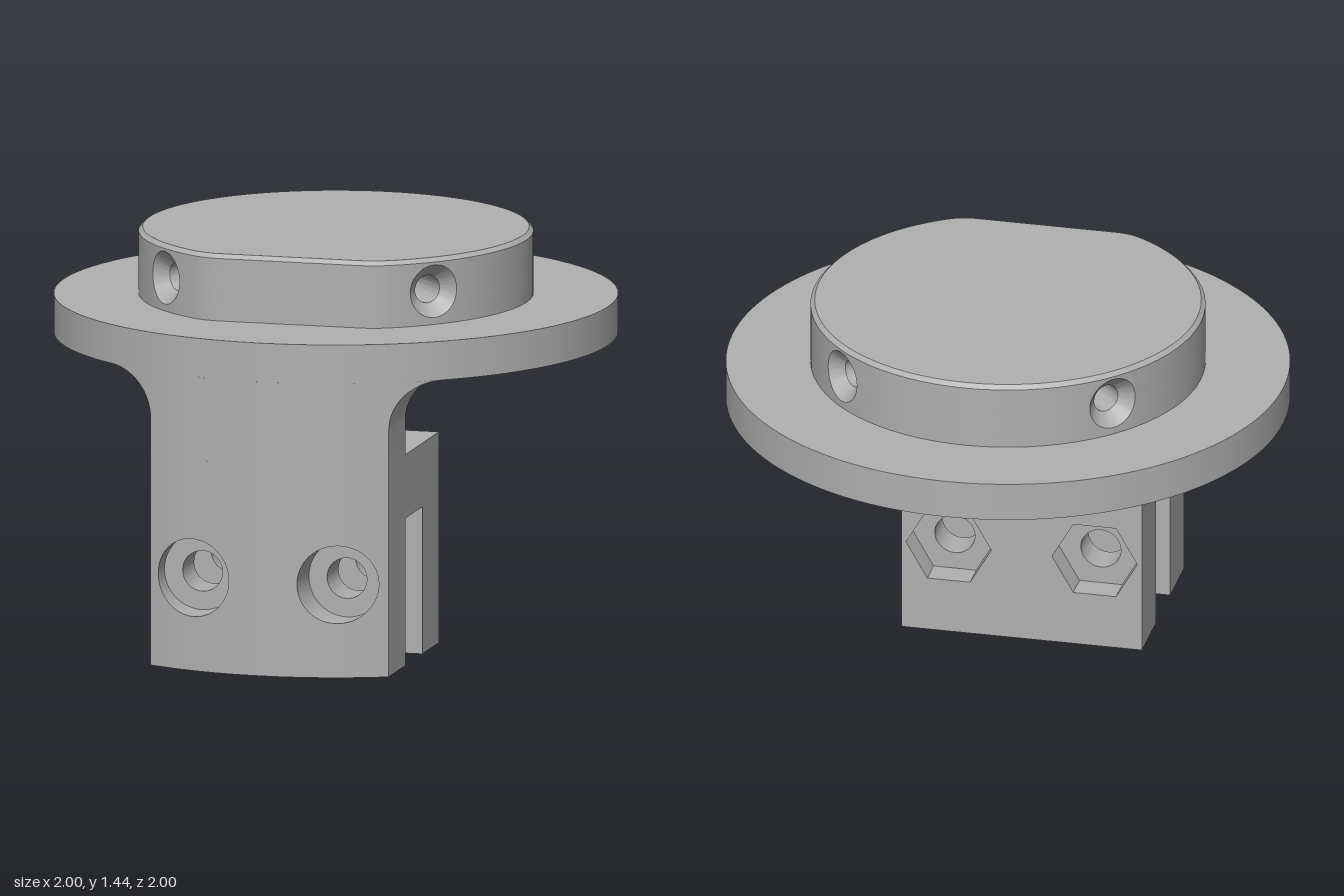
import * as THREE from 'three';
import { toCreasedNormals, mergeGeometries } from 'three/addons/utils/BufferGeometryUtils.js';

const grey = new THREE.MeshStandardMaterial({ color: 0xb0b0b0, side: THREE.DoubleSide });
grey.name = 'plain grey';

// Surface through rows of points, all rows having the same count
function loft(rows) {
  const n = rows[0].length, index = [];
  for (let j = 0; j < rows.length - 1; j++) {
    for (let i = 0; i < n - 1; i++) {
      const a = j * n + i, b = a + 1, c = a + n, d = c + 1;
      index.push(a, b, d, a, d, c);
    }
  }
  const g = new THREE.BufferGeometry();
  g.setAttribute('position', new THREE.Float32BufferAttribute(rows.flat(2), 3));
  g.setIndex(index);
  return toCreasedNormals(g, 0.5);
}

const range = (a, b, n) => Array.from({ length: n + 1 }, (_, i) => a + (b - a) * i / n);

// Ring of points of radius r, put in place by a function of (u, v)
const ring = (r, place) => range(0, Math.PI * 2, 48).map(a => place(r * Math.cos(a), r * Math.sin(a)));

// Columns [t, halfGap] along t, opening up at each round hole
function columns(t0, t1, centres, r, toT, steps) {
  const out = [];
  let from = t0;
  for (const c of centres) {
    for (const t of range(from, c - toT(r), steps).slice(0, -1)) out.push([t, 0]);
    for (const a of range(0, Math.PI, 24)) out.push([c - toT(r * Math.cos(a)), r * Math.sin(a)]);
    from = c + toT(r);
  }
  for (const t of range(from, t1, steps).slice(1)) out.push([t, 0]);
  return out;
}

// Wall over columns [x, z, halfGap] from y0 to y1, with holes centred at yc
function wall(cols, y0, y1, yc) {
  return [
    loft([cols.map(([x, z]) => [x, y0, z]), cols.map(([x, z, v]) => [x, yc - v, z])]),
    loft([cols.map(([x, z, v]) => [x, yc + v, z]), cols.map(([x, z]) => [x, y1, z])]),
  ];
}

export function createModel() {
  const model = new THREE.Group();
  const add = (name, geometry) => {
    const mesh = new THREE.Mesh(geometry, grey);
    mesh.name = name;
    model.add(mesh);
    return mesh;
  };

  // Flange disc
  add('flange', new THREE.CylinderGeometry(1, 1, 0.14, 160)).position.y = 1.13;

  // Boss: disc with one flat, rounded corners and a small chamfer
  const R = 0.7, flat = 0.63, f = 0.2, bossHoleY = 1.32;
  const cz = flat - f, cx = Math.sqrt((R - f) ** 2 - cz ** 2), a0 = Math.atan2(cx, cz);
  const holeAngles = [1, 3, 5, 7].map(k => k * Math.PI / 4);
  const outline = d => {
    const corner = (s, a) => [s * cx + (f - d) * Math.sin(a), cz + (f - d) * Math.cos(a), 0];
    const arc = columns(a0, 2 * Math.PI - a0, holeAngles, 0.095, u => Math.asin(u / R), 16);
    const pts = [
      ...range(0, a0, 8).slice(0, -1).map(a => corner(1, a)),
      ...arc.map(([t, v]) => [(R - d) * Math.sin(t), (R - d) * Math.cos(t), v]),
      ...range(-a0, 0, 8).slice(1).map(a => corner(-1, a)),
    ];
    return [...pts, pts[0]];
  };
  const level = (d, y) => outline(d).map(([x, z]) => [x, y, z]);
  const rim = level(0.015, 1.44);
  add('boss', mergeGeometries([
    ...wall(outline(0), 1.2, 1.425, bossHoleY),
    loft([level(0, 1.425), rim]),
    loft([rim, rim.map(() => [0, 1.44, 0])]),
  ]));

  // Countersunk radial holes in the boss
  for (const t of holeAngles) {
    const s = Math.sin(t), c = Math.cos(t);
    const at = depth => (u, v) => {
      const q = depth === null ? Math.sqrt(R * R - u * u) : depth;
      return [q * s + u * c, bossHoleY + v, q * c - u * s];
    };
    add('setScrewHole', loft([
      ring(0.095, at(null)), ring(0.05, at(0.65)), ring(0.05, at(0.4)), ring(0, at(0.4)),
    ]));
  }

  // Leg dimensions
  const W = 0.437, neck = 0.145, slabBack = 0.675, back = 0.22, blockTop = 0.76;
  const boltX = 0.265, boltY = 0.335, floorZ = 0.83, boreR = 0.14;
  const front = x => Math.sqrt(1 - x * x);

  // T-shaped upper leg, flaring into the flange with a mitred fillet
  const section = (y, d) => {
    const w = W + d, n = neck + d, s = slabBack - d, b = back - d;
    const pts = [
      ...range(-w, w, 40).map(x => [x, y, front(x)]),
      [w, y, s], [n, y, s], [n, y, b], [-n, y, b], [-n, y, s], [-w, y, s],
    ];
    return [...pts, pts[0]];
  };
  const fillet = 0.17;
  add('upperLeg', loft([
    section(blockTop, 0),
    ...range(0, Math.PI / 2, 14).map(a =>
      section(1.06 - fillet + fillet * Math.sin(a), fillet * (1 - Math.cos(a)))),
  ]));

  // Plates of the lower leg, pierced by two bolt holes
  const plate = (z0, z1, r, sides) => {
    const shape = new THREE.Shape([[-W, 0], [W, 0], [W, blockTop], [-W, blockTop]]
      .map(p => new THREE.Vector2(...p)));
    for (const m of [-1, 1]) {
      shape.holes.push(new THREE.Path(range(0, Math.PI * 2, sides).slice(0, -1).map(a =>
        new THREE.Vector2(m * boltX + r * Math.cos(a), boltY + r * Math.sin(a)))));
    }
    const g = new THREE.ExtrudeGeometry(shape, { depth: z1 - z0, bevelEnabled: false });
    return toCreasedNormals(g.translate(0, 0, z0), 0.5);
  };
  add('frontJaw', plate(slabBack, floorZ, 0.073, 48));
  add('backJaw', plate(0.32, 0.445, 0.073, 48));
  add('nutRecessPlate', plate(back, 0.32, 0.155, 6));

  // Solid bridge above the slot
  add('bridge', new THREE.BoxGeometry(2 * W, blockTop - 0.53, slabBack - 0.445))
    .position.set(0, (blockTop + 0.53) / 2, (slabBack + 0.445) / 2);

  // Curved front of the leg with counterbores
  const frontCols = columns(-W, W, [-boltX, boltX], boreR, u => u, 12).map(([x, v]) => [x, front(x), v]);
  const edge = [[0, floorZ], [0, front(W)], [blockTop, front(W)], [blockTop, floorZ]];
  add('curvedFront', mergeGeometries([
    ...wall(frontCols, 0, blockTop, boltY),
    loft([frontCols.map(([x]) => [x, 0, floorZ]), frontCols.map(([x, z]) => [x, 0, z])]),
    ...[-W, W].map(x => loft([
      [[x, ...edge[0]], [x, ...edge[1]]],
      [[x, ...edge[3]], [x, ...edge[2]]],
    ])),
    ...[-boltX, boltX].map(c => loft([
      ring(boreR, (u, v) => [c + u, boltY + v, front(c + u)]),
      ring(boreR, (u, v) => [c + u, boltY + v, floorZ]),
    ])),
  ]));

  return model;
}
